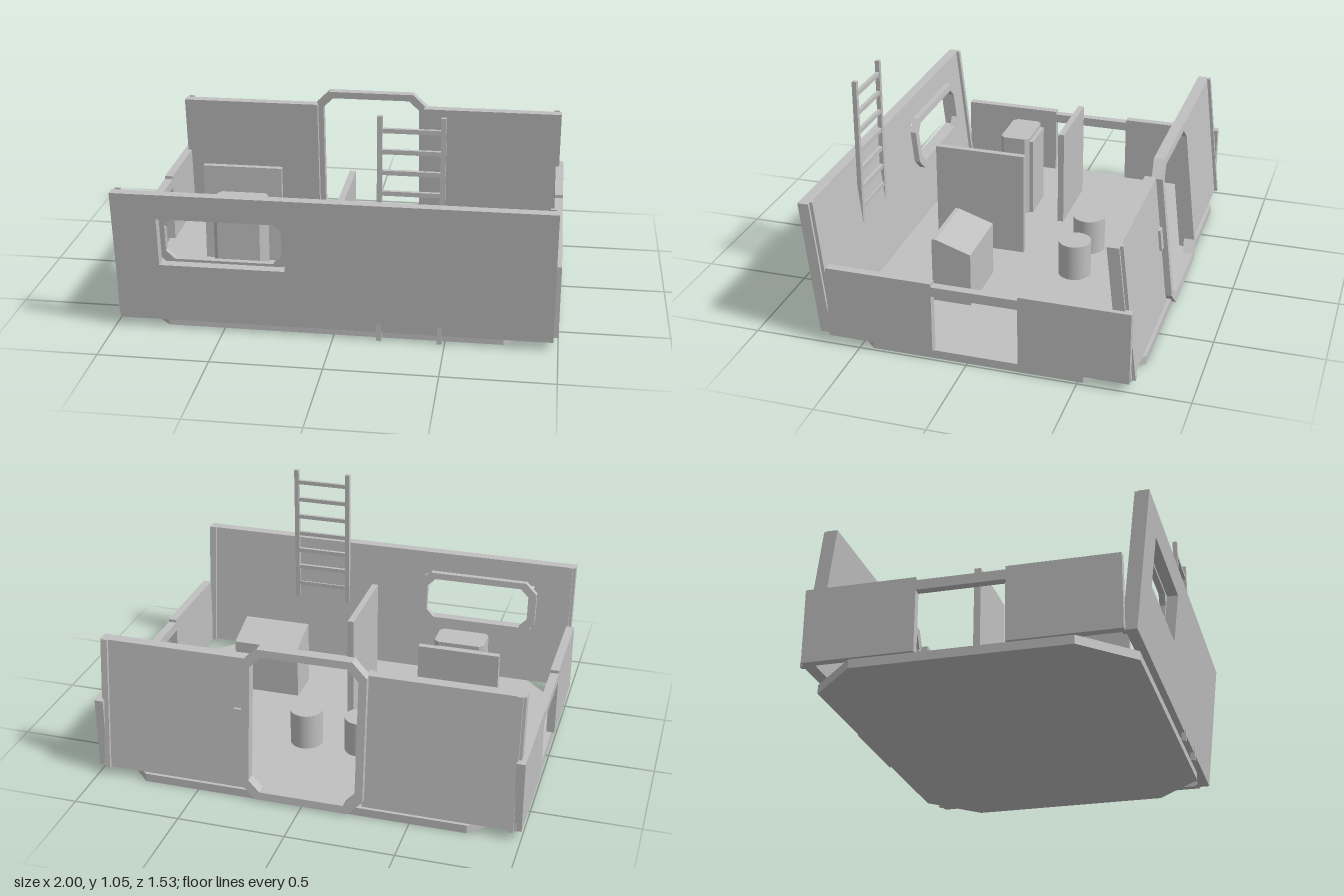
import * as THREE from 'three';

const LEAN = 0.111; // z shift per unit of height, shared by front and back walls

export function createModel() {
  const model = new THREE.Group();
  const grey = new THREE.MeshStandardMaterial({ color: 0xc0c0c0 });
  grey.name = 'grey';

  const add = (name, geometry) => {
    const mesh = new THREE.Mesh(geometry, grey);
    mesh.name = name;
    model.add(mesh);
    return mesh;
  };
  const box = (name, x0, x1, y0, y1, z0, z1) => {
    const g = new THREE.BoxGeometry(x1 - x0, y1 - y0, z1 - z0);
    return add(name, g.translate((x0 + x1) / 2, (y0 + y1) / 2, (z0 + z1) / 2));
  };
  const toPoints = (list) => list.map(([x, y]) => new THREE.Vector2(x, y));
  // Rectangle with cut corners (c = 0 gives a plain rectangle)
  const outline = (x0, x1, y0, y1, c = 0) => toPoints(c
    ? [[x0 + c, y0], [x1 - c, y0], [x1, y0 + c], [x1, y1 - c],
      [x1 - c, y1], [x0 + c, y1], [x0, y1 - c], [x0, y0 + c]]
    : [[x0, y0], [x1, y0], [x1, y1], [x0, y1]]);
  const extrude = (points, depth, hole) => {
    const shape = new THREE.Shape(points);
    if (hole) shape.holes.push(new THREE.Path(hole));
    return new THREE.ExtrudeGeometry(shape, { depth, bevelEnabled: false });
  };
  // Upright panel sheared along z; z is its rear face at y = 0
  const leaning = (name, points, z, depth, hole) => {
    const shear = new THREE.Matrix4().set(
      1, 0, 0, 0,
      0, 1, 0, 0,
      0, LEAN, 1, z,
      0, 0, 0, 1);
    return add(name, extrude(points, depth, hole).applyMatrix4(shear));
  };
  // Horizontal slab from an outline given as (x, -z)
  const slab = (name, points, y0, y1) =>
    add(name, extrude(points, y1 - y0).rotateX(-Math.PI / 2).translate(0, y0, 0));

  // Floor with cut corners
  slab('floor', outline(-0.985, 0.985, -0.665, 0.75, 0.225), 0, 0.04);

  // Front wall with window and its inner frame
  const FRONT = 0.641, BACK = -0.739;
  leaning('frontWall', outline(-0.978, 0.978, 0.04, 0.67), FRONT, 0.05,
    outline(-0.777, -0.21, 0.322, 0.552));
  leaning('windowFrame', outline(-0.795, -0.19, 0.303, 0.572, 0.055), FRONT - 0.028, 0.028,
    outline(-0.755, -0.23, 0.335, 0.54, 0.04));

  // Back wall in two halves, doorway frame and handle
  for (const s of [-1, 1]) {
    leaning('backWall', outline(Math.min(s * 0.277, s * 0.978), Math.max(s * 0.277, s * 0.978), 0.04, 0.67),
      BACK, 0.053);
  }
  leaning('doorFrame', outline(-0.287, 0.287, 0.01, 0.735, 0.068), BACK - 0.03, 0.05,
    outline(-0.25, 0.25, 0.047, 0.7, 0.052));
  leaning('doorHandle', outline(0.29, 0.33, 0.33, 0.43), BACK - 0.012, 0.012);

  // Both sides: end strips, low panels and rail
  for (const s of [-1, 1]) {
    const a = Math.min(s * 0.94, s * 0.965), b = Math.max(s * 0.94, s * 0.965);
    leaning('frontWallStrip', outline(a, b, 0.04, 0.675), FRONT - 0.015, 0.015);
    leaning('backWallStrip', outline(a, b, 0.04, 0.675), BACK - 0.015, 0.015);
    const i = Math.min(s * 0.96, s), o = Math.max(s * 0.96, s);
    box('sidePanelFront', i, o, 0.04, 0.38, 0.155, 0.645);
    box('sidePanelBack', i, o, 0.04, 0.38, -0.73, -0.235);
    box('sideRail', i, o, 0.32, 0.365, -0.235, 0.155);
  }

  // Inner partitions
  box('centrePartition', -0.015, 0.015, 0.04, 0.558, 0.04, 0.485);
  box('sidePartition', -0.745, -0.36, 0.04, 0.525, -0.057, -0.027);

  // Console with sloping top, profile drawn as (-z, y)
  const profile = toPoints([[-0.29, 0.07], [-0.105, 0.07], [-0.105, 0.33], [-0.27, 0.385], [-0.29, 0.385]]);
  add('console', extrude(profile, 0.327).rotateY(Math.PI / 2).translate(0.295, 0, 0));

  // Cabinet with cut corners and a back plate
  slab('cabinet', outline(-0.633, -0.39, -0.288, -0.14, 0.02), 0.04, 0.46);
  box('cabinetBack', -0.61, -0.415, 0.04, 0.44, 0.122, 0.141);

  // Round stools
  for (const x of [-0.137, 0.133]) {
    add('stool', new THREE.CylinderGeometry(0.078, 0.078, 0.175, 32).translate(x, 0.1275, -0.252));
  }

  // Ladder
  for (const x of [0.205, 0.477]) box('ladderPost', x - 0.011, x + 0.011, 0, 1.053, 0.679, 0.7);
  for (let k = 0; k < 10; k++) {
    const y = 0.988 - k * 0.0945;
    box('ladderRung', 0.216, 0.466, y - 0.01, y + 0.01, 0.681, 0.698);
  }

  return model;
}
